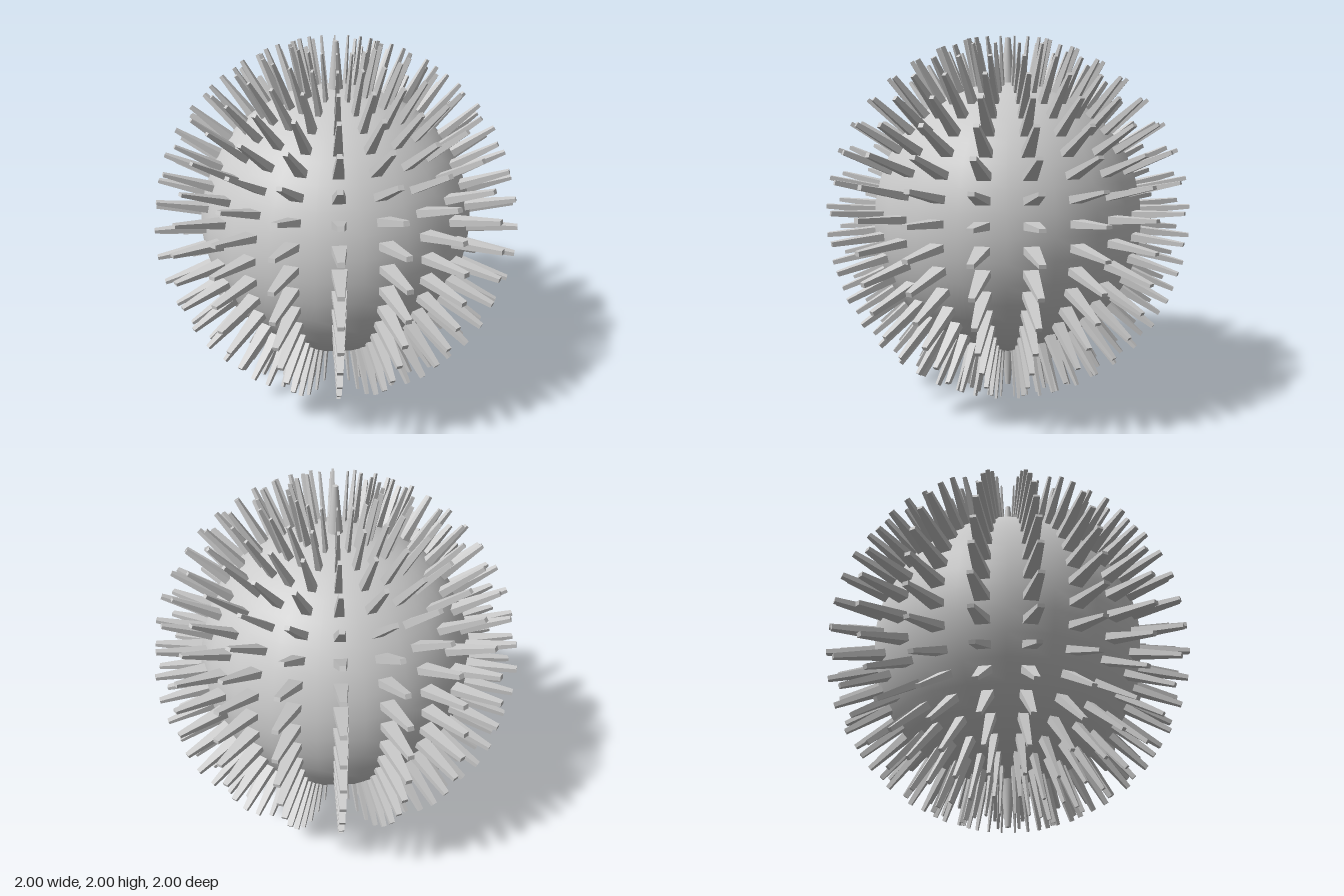
import * as THREE from 'three';
import { mergeGeometries } from 'three/addons/utils/BufferGeometryUtils.js';

const BODY_R = 0.757, TIP_R = 1.012, COLUMNS = 20, ROWS = 20;
const SINK = 0.735; // spikes start just under the body's facets

// Four-sided spike along +z, tapering from the body to the tip
function spike(lat, tipHeight) {
  const geo = new THREE.BoxGeometry(1, 1, 1);
  const p = geo.attributes.position;
  const width = 0.078 * Math.cos(lat), height = 0.04;
  for (let i = 0; i < p.count; i++) {
    const tip = p.getZ(i) > 0;
    p.setXYZ(i,
      p.getX(i) * width * (tip ? 0.42 : 1),
      p.getY(i) * height * (tip ? tipHeight : 1),
      tip ? TIP_R : SINK);
  }
  geo.rotateX(-lat);
  return geo;
}

export function createModel() {
  const group = new THREE.Group();
  const smooth = new THREE.MeshStandardMaterial({ color: 0xcccccc });
  const flat = new THREE.MeshStandardMaterial({ color: 0xcccccc, flatShading: true });

  // Round body
  const body = new THREE.Mesh(new THREE.SphereGeometry(BODY_R, COLUMNS, ROWS), smooth);
  body.name = 'body';
  body.position.y = 1;
  group.add(body);

  // Columns of spikes from pole to pole, one spike at the middle of each facet
  for (let c = 0; c < COLUMNS; c++) {
    const azimuth = (c + 0.5) * 2 * Math.PI / COLUMNS;
    const tipHeight = 0.62 - 0.2 * Math.sin(azimuth) ** 2;
    const spikes = [];
    for (let r = 1; r < ROWS - 1; r++) {
      spikes.push(spike(Math.PI / 2 - (r + 0.5) * Math.PI / ROWS, tipHeight));
    }
    const column = new THREE.Mesh(mergeGeometries(spikes), flat);
    column.name = 'spikeColumn' + (c + 1);
    column.position.y = 1;
    column.rotation.y = azimuth;
    group.add(column);
  }

  // Round spike at each pole
  const length = 1 - SINK;
  for (const [name, turn] of [['topSpike', 0], ['bottomSpike', Math.PI]]) {
    const geo = new THREE.CylinderGeometry(0.015, 0.041, length, COLUMNS);
    geo.translate(0, SINK + length / 2, 0);
    geo.rotateX(turn);
    const pole = new THREE.Mesh(geo, smooth);
    pole.name = name;
    pole.position.y = 1;
    group.add(pole);
  }
  return group;
}
